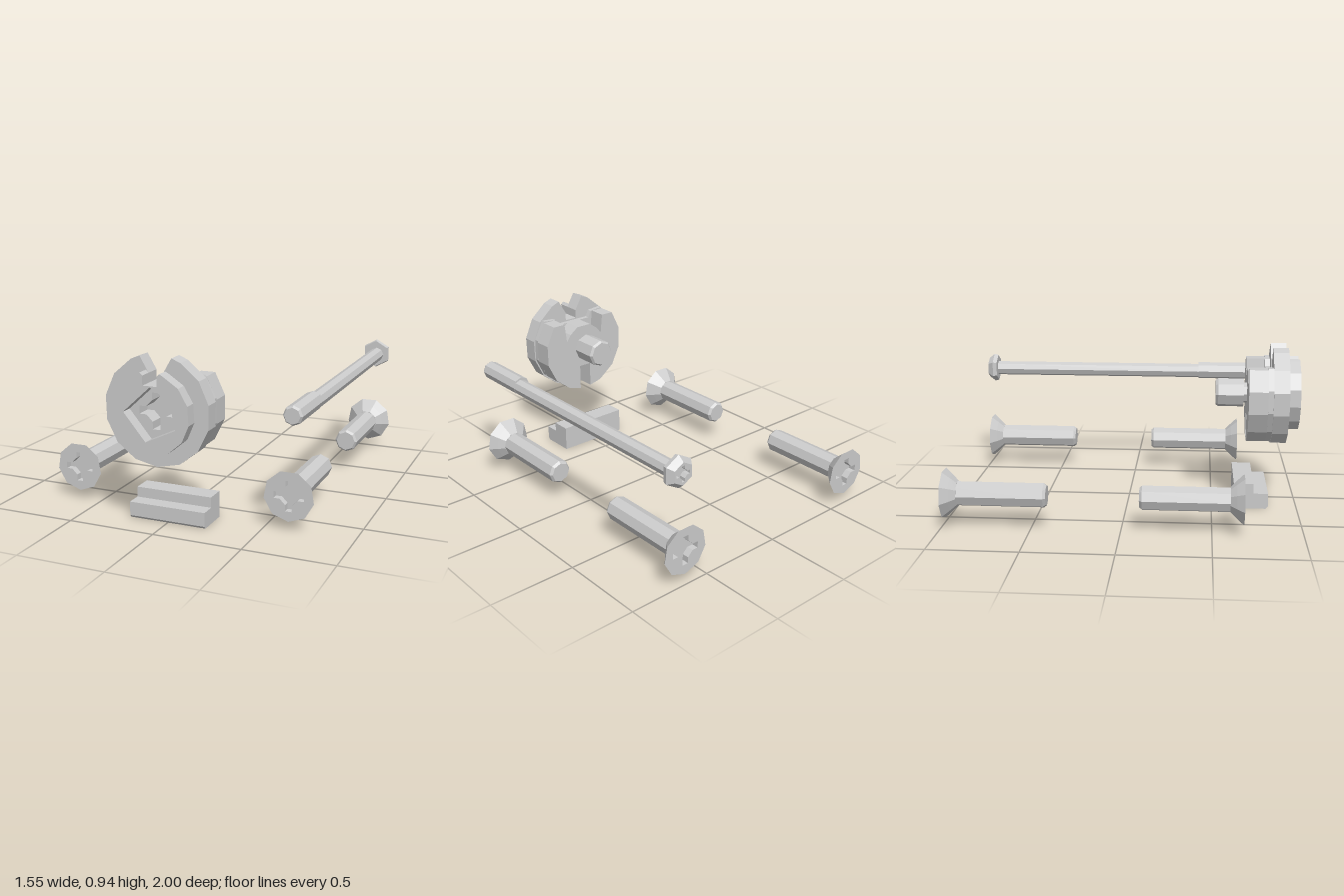
import * as THREE from 'three';

const mat = new THREE.MeshStandardMaterial({ color: 0xcccccc, flatShading: true });

function add(parent, name, geo, x = 0, y = 0, z = 0) {
  const m = new THREE.Mesh(geo, mat);
  m.name = name;
  m.position.set(x, y, z);
  parent.add(m);
  return m;
}

const vec = (list) => list.map(([x, y]) => new THREE.Vector2(x, y));

// Points along an arc, angles in degrees
function arc(r, from, to, n) {
  return Array.from({ length: n + 1 }, (_, i) => {
    const a = THREE.MathUtils.degToRad(from + ((to - from) * i) / n);
    return [r * Math.cos(a), r * Math.sin(a)];
  });
}

// Cross recess outline with chamfered inner corners
function crossPath(s = 1) {
  const pts = [];
  for (let k = 0; k < 4; k++) {
    const c = Math.round(Math.cos((k * Math.PI) / 2)), d = Math.round(Math.sin((k * Math.PI) / 2));
    for (const [x, y] of [[0.085, -0.019], [0.085, 0.019], [0.05, 0.019], [0.019, 0.05]]) {
      pts.push([(x * c - y * d) * s, (x * d + y * c) * s]);
    }
  }
  return new THREE.Path(vec(pts));
}

function slab(points, depth, holes = []) {
  const shape = new THREE.Shape(vec(points));
  shape.holes.push(...holes);
  return new THREE.ExtrudeGeometry(shape, { depth, bevelEnabled: false });
}

// Cylinder or cone along z, from z0 to z1
function rod(r0, r1, z0, z1, sides) {
  return new THREE.CylinderGeometry(r1, r0, z1 - z0, sides)
    .rotateX(Math.PI / 2)
    .translate(0, 0, (z0 + z1) / 2);
}

// Head slab with its face at z = 0, tapering backwards around the cross recess
function recessedHead(rFace, rBack, depth, sides, crossScale) {
  const geo = slab(arc(rFace, 270, 630 - 360 / sides, sides - 1), depth, [crossPath(crossScale)]);
  const p = geo.attributes.position;
  for (let i = 0; i < p.count; i++) {
    const outer = Math.hypot(p.getX(i), p.getY(i)) > rFace * 0.99;
    if (outer && p.getZ(i) < depth / 2) {
      p.setXY(i, (p.getX(i) * rBack) / rFace, (p.getY(i) * rBack) / rFace);
    }
  }
  geo.translate(0, 0, -depth);
  geo.computeVertexNormals();
  return geo;
}

// Countersunk screw, face at z = 0 pointing to +z
function screw(name) {
  const g = new THREE.Group();
  g.name = name;
  add(g, 'screwHead', recessedHead(0.142, 0.105, 0.04, 9, 1));
  add(g, 'screwCone', rod(0.07, 0.105, -0.075, -0.04, 9));
  add(g, 'screwShaft', rod(0.07, 0.07, -0.555, -0.075, 8));
  add(g, 'screwTip', rod(0.058, 0.07, -0.57, -0.555, 8));
  return g;
}

// Long bolt, head at the back
function longBolt() {
  const g = new THREE.Group();
  g.name = 'longBolt';
  const head = add(g, 'boltHead', recessedHead(0.064, 0.092, 0.035, 6, 0.52), 0, 0, -1);
  head.rotation.y = Math.PI;
  add(g, 'boltHeadBase', rod(0.092, 0.085, -0.965, -0.94, 6));
  add(g, 'boltShaft', rod(0.045, 0.045, -0.94, 0.41, 8), 0.006, -0.004);
  add(g, 'boltEnd', rod(0.054, 0.054, 0.41, 0.74, 8));
  add(g, 'boltTip', rod(0.054, 0.044, 0.74, 0.755, 8));
  g.position.set(0.675, 0.652, 0);
  return g;
}

// Slotted round cam
function cam() {
  const g = new THREE.Group();
  g.name = 'cam';
  const slot = [[-0.04, 0.2], [-0.04, 0.148], [0.04, 0.148], [0.04, 0.2]];

  // Rear plate: wide opening around the hub at the top, narrow notch below
  const rear = [
    [0.04, -0.13], [0.04, -0.285], ...arc(0.292, -65, 38, 4),
    [0.15, 0.18], [0.135, 0.06], [0.105, 0.1], [0.05, 0.14],
    [-0.05, 0.14], [-0.105, 0.1], [-0.135, 0.06], [-0.15, 0.18],
    ...arc(0.292, 142, 245, 4), [-0.04, -0.285], [-0.04, -0.13],
  ];
  add(g, 'rearPlate', slab(rear, 0.11), 0, 0, 0.7);
  add(g, 'rearPlateBack', slab([...arc(0.292, -270 + 50, 40, 10), [0.14, 0.18], [0.12, 0.14], [-0.12, 0.14], [-0.14, 0.18]], 0.03), 0, 0, 0.81);

  // Middle flange with a flared slot
  const flange = [[0.09, 0.285], ...arc(0.3, 62, -242, 12), [-0.09, 0.285], ...slot];
  add(g, 'flange', slab(flange, 0.09, [crossPath(1.15)]), 0, 0, 0.84);

  // Front collar with a five-sided recess
  const recess = new THREE.Path(vec([[-0.155, 0], [-0.03, -0.15], [0.14, -0.07], [0.11, 0.08], [0, 0.142]]));
  const collar = [[0.055, 0.215], ...arc(0.218, 70, -250, 12), [-0.055, 0.215], ...slot];
  add(g, 'frontCollar', slab(collar, 0.07, [recess]), 0, 0, 0.93);

  // Stub shaft at the back
  add(g, 'camNeck', rod(0.06, 0.06, 0.67, 0.71, 8));
  add(g, 'camStub', rod(0.085, 0.085, 0.53, 0.68, 8));
  add(g, 'camStubTip', rod(0.074, 0.085, 0.515, 0.53, 8));
  g.position.y = 0.65;
  return g;
}

export function createModel() {
  const model = new THREE.Group();
  model.name = 'hardwareSet';

  // Four countersunk screws, two facing forward and two backward
  for (const side of [1, -1]) {
    const label = side > 0 ? 'Left' : 'Right';
    const front = screw('front' + label + 'Screw');
    front.position.set(side * 0.635, 0.19, 0.672);
    const back = screw('back' + label + 'Screw');
    back.position.set(side * 0.635, 0.19, -0.98);
    back.rotation.y = Math.PI;
    model.add(front, back);
  }

  model.add(longBolt(), cam());

  // Stepped block: profile in z and y, drawn out along x
  const profile = [[0.63, 0], [0.82, 0], [0.832, 0.014], [0.832, 0.092], [0.745, 0.092], [0.745, 0.15], [0.63, 0.15]];
  const block = slab(profile, 0.446).rotateY(-Math.PI / 2).translate(0.223, 0, 0);
  add(model, 'steppedBlock', block);

  return model;
}
